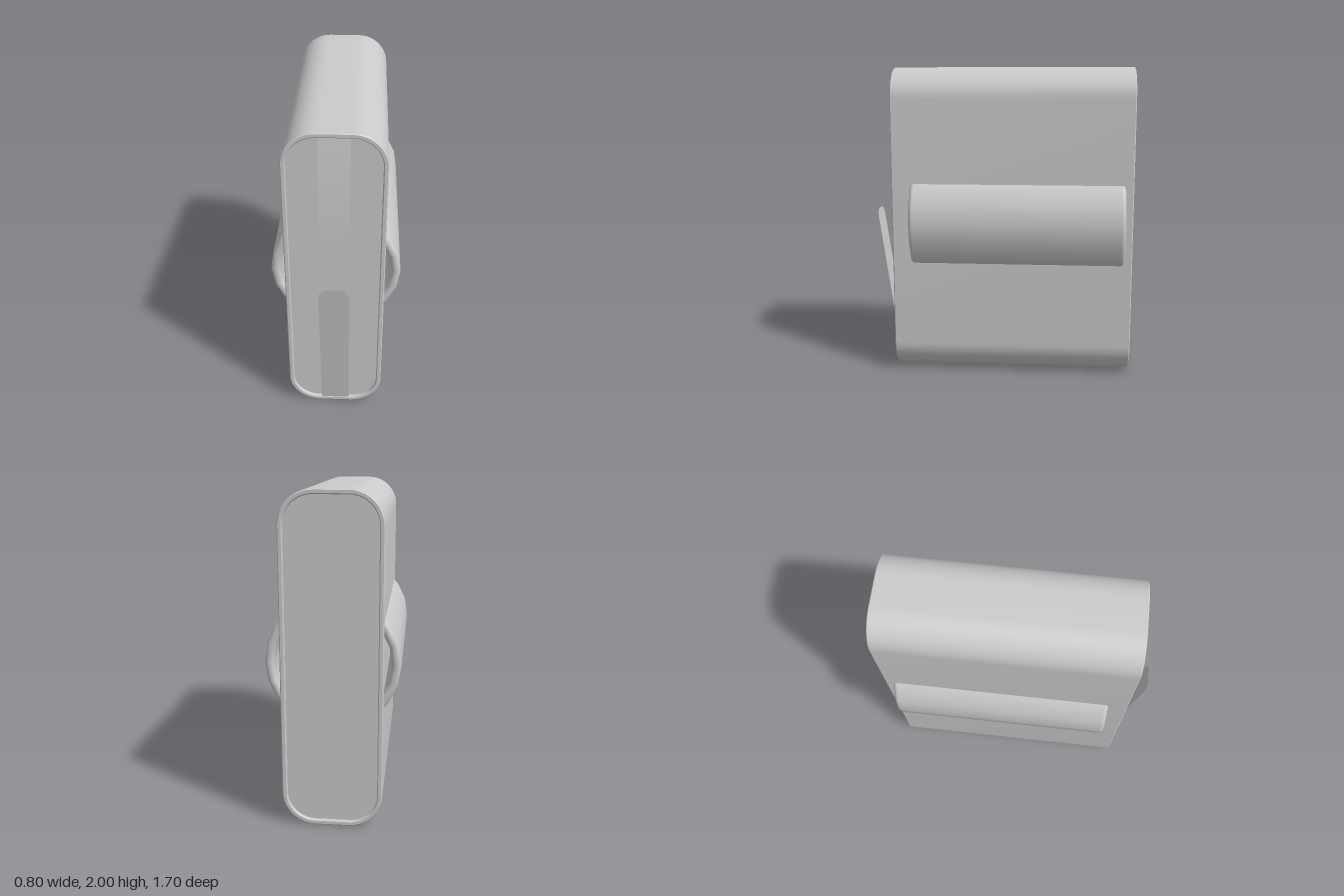
import * as THREE from 'three';
import { toCreasedNormals } from 'three/addons/utils/BufferGeometryUtils.js';

const grey = new THREE.MeshStandardMaterial({ color: 0xcccccc });
const thin = new THREE.MeshStandardMaterial({ color: 0xcccccc, side: THREE.DoubleSide });

const BACK = -0.85, FRONT = 0.7, RECESS = 0.02;

// Rounded rectangle centred on the origin
function roundedRect(w, h, r, Kind = THREE.Shape) {
  const s = new Kind(), x = w / 2, y = h / 2;
  s.moveTo(x, -y + r);
  s.lineTo(x, y - r);
  s.absarc(x - r, y - r, r, 0, Math.PI / 2);
  s.absarc(-x + r, y - r, r, Math.PI / 2, Math.PI);
  s.absarc(-x + r, -y + r, r, Math.PI, Math.PI * 1.5);
  s.absarc(x - r, -y + r, r, Math.PI * 1.5, Math.PI * 2);
  return s;
}

// Thin strip running from s = 0 to a rounded free end at s = 1
function strip(y0, y1, depth) {
  const geo = new THREE.PlaneGeometry(2, 1, 2, 28);
  const p = geo.attributes.position;
  const r = 0.06, half = 0.09, length = Math.abs(y1 - y0);
  for (let i = 0; i < p.count; i++) {
    const s = 1 - (0.5 - p.getY(i)) ** 2; // rows crowd towards the free end
    const d = Math.min(r, (1 - s) * length);
    const w = half - r + Math.sqrt(Math.max(0, r * r - (r - d) ** 2));
    p.setXYZ(i, p.getX(i) * w, y0 + (y1 - y0) * s, depth(s));
  }
  geo.computeVertexNormals();
  return geo;
}

export function createModel() {
  const group = new THREE.Group();
  const add = (name, geo, mat = grey) => {
    const mesh = new THREE.Mesh(geo, mat);
    mesh.name = name;
    group.add(mesh);
    return mesh;
  };

  // Outer sleeve, open at both ends
  const bevel = 0.006;
  const profile = roundedRect(0.6, 2, 0.2);
  profile.holes.push(roundedRect(0.54, 1.94, 0.17, THREE.Path));
  const sleeve = new THREE.ExtrudeGeometry(profile, {
    depth: FRONT - BACK - 2 * bevel, curveSegments: 6,
    bevelThickness: bevel, bevelSize: bevel, bevelOffset: -bevel, bevelSegments: 1,
  });
  add('sleeve', toCreasedNormals(sleeve, 0.6)).position.set(0, 1, BACK + bevel);

  // Recessed end panels
  const panel = new THREE.ShapeGeometry(roundedRect(0.545, 1.945, 0.1725), 6);
  add('frontPanel', panel).position.set(0, 1, FRONT - RECESS);
  const back = add('backPanel', panel);
  back.position.set(0, 1, BACK + RECESS);
  back.rotation.y = Math.PI;

  // Round tube through the sleeve, bulging out of both sides
  const outer = 0.4, inner = 0.345, halfLength = 0.69;
  const wall = roundedRect(outer - inner, halfLength * 2, 0.025).getPoints(4)
    .map(p => new THREE.Vector2(p.x + (outer + inner) / 2, p.y));
  wall.push(wall[0].clone());
  const tube = add('sideTube', new THREE.LatheGeometry(wall, 20));
  tube.rotation.x = Math.PI / 2;
  tube.position.set(0, 1, -0.11);

  // Front strips: the upper one hugs the face, the lower one leans outwards
  add('upperStrip', strip(1.97, 1.23, s => 0.69 + 0.045 * (1 - (1 - s) ** 2)), thin);
  add('lowerStrip', strip(0.03, 1.06, s => 0.7 + 0.147 * s), thin);

  return group;
}
